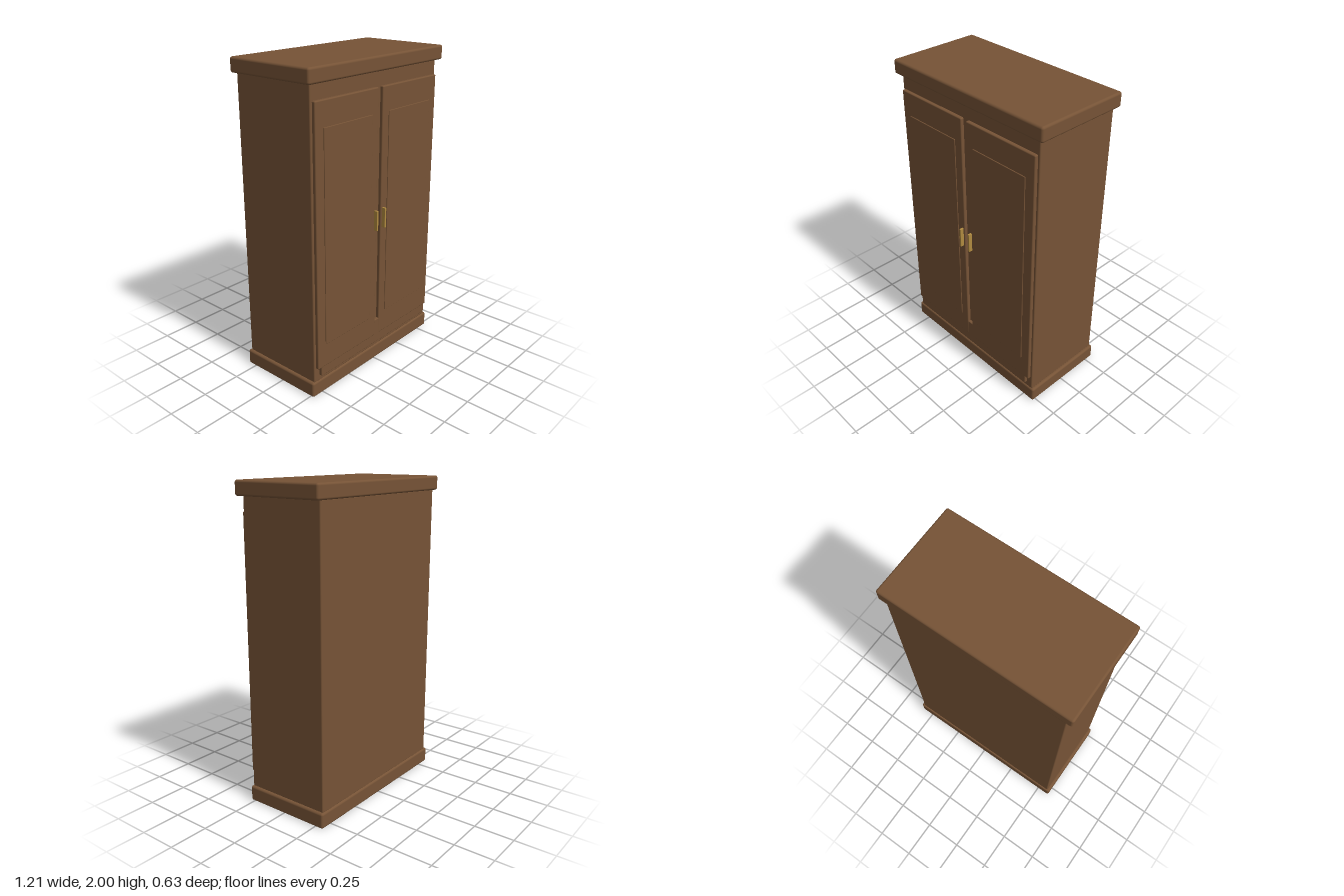
import * as THREE from 'three';
import { RoundedBoxGeometry } from 'three/addons/geometries/RoundedBoxGeometry.js';

const wood = new THREE.MeshStandardMaterial({ color: 0x765336 });
const brass = new THREE.MeshStandardMaterial({ color: 0xb08a40 });

// Box given by its limits on each axis, with softly rounded edges when radius > 0
function block(name, [x0, x1], [y0, y1], [z0, z1], radius, material = wood) {
  const size = [x1 - x0, y1 - y0, z1 - z0];
  const geometry = radius > 0
    ? new RoundedBoxGeometry(...size, 3, radius)
    : new THREE.BoxGeometry(...size);
  const mesh = new THREE.Mesh(geometry, material);
  mesh.name = name;
  mesh.position.set((x0 + x1) / 2, (y0 + y1) / 2, (z0 + z1) / 2);
  return mesh;
}

// Door leaf with its raised panel and pull handle; side is +1 (left) or -1 (right)
function door(side) {
  const group = new THREE.Group();
  group.name = side > 0 ? 'leftDoor' : 'rightDoor';
  const span = (a, b) => (side > 0 ? [a, b] : [-b, -a]);
  group.add(
    block('doorLeaf', span(0.02, 0.555), [0.19, 1.82], [0.25, 0.291], 0.007),
    block('doorPanel', span(0.077, 0.49), [0.34, 1.67], [0.27, 0.296], 0.003),
    block('handle', span(0.032, 0.045), [0.94, 1.07], [0.285, 0.315], 0.002, brass)
  );
  return group;
}

export function createModel() {
  const model = new THREE.Group();
  model.name = 'wardrobe';
  model.add(
    block('plinth', [-0.588, 0.588], [0, 0.1], [-0.31, 0.277], 0.014),
    block('carcass', [-0.57, 0.57], [0.095, 1.915], [-0.3, 0.27], 0.008),
    block('cornice', [-0.607, 0.607], [1.91, 2], [-0.315, 0.3], 0.014),
    // Low front board, its upper part tucked behind the doors
    block('drawerFront', [-0.525, 0.525], [0.13, 0.3], [0.25, 0.289], 0.006)
  );
  for (const side of [1, -1]) model.add(door(side));
  return model;
}
